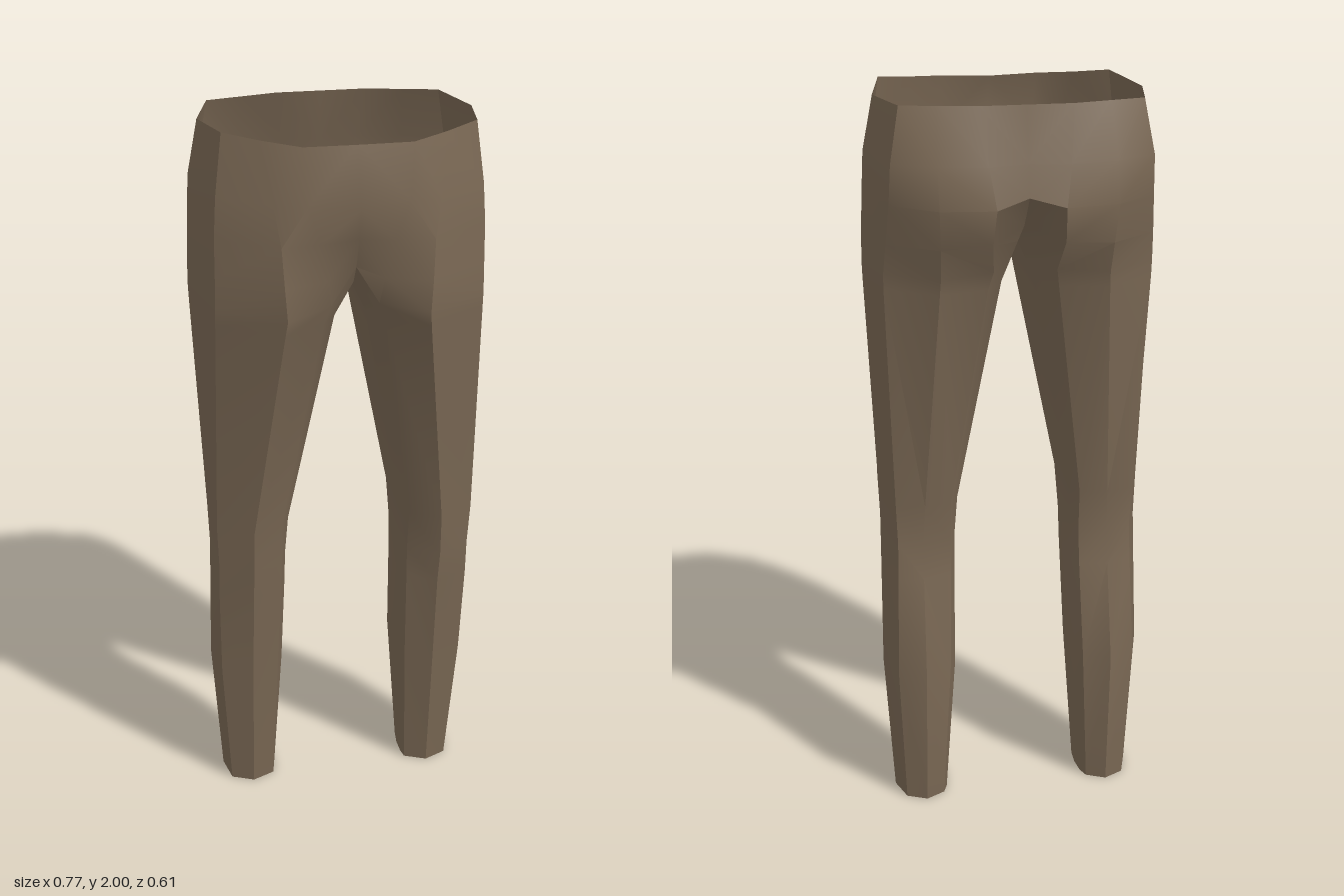
import * as THREE from 'three';
import { toCreasedNormals } from 'three/addons/utils/BufferGeometryUtils.js';

// Each half ring runs: front seam, front inner, front, front outer, side,
// back outer, back, back inner, back seam. Points are [x, y, z].
const hipRings = [
  // waistband rim
  [[0, 1.98, .257], [.13, 1.983, .265], [.22, 1.99, .217], [.305, 2, .168], [.342, 1.985, -.02],
    [.3, 1.985, -.19], [.21, 1.985, -.212], [.115, 1.985, -.235], [0, 1.985, -.235]],
  // belly
  [[0, 1.84, .302], [.12, 1.85, .285], [.2, 1.85, .265], [.325, 1.85, .18], [.37, 1.85, -.02],
    [.325, 1.85, -.208], [.22, 1.85, -.262], [.1, 1.85, -.283], [0, 1.85, -.262]],
  // seat
  [[0, 1.76, .28], [.09, 1.75, .272], [.185, 1.75, .28], [.332, 1.75, .183], [.376, 1.75, -.02],
    [.33, 1.75, -.196], [.22, 1.75, -.285], [.085, 1.75, -.304], [0, 1.77, -.272]],
  [[0, 1.68, .245], [.07, 1.65, .25], [.18, 1.65, .291], [.334, 1.65, .185], [.381, 1.65, -.02],
    [.338, 1.65, -.175], [.215, 1.65, -.264], [.09, 1.66, -.278], [0, 1.69, -.21]],
  // crotch
  [[0, 1.63, .21], [.06, 1.58, .235], [.175, 1.57, .296], [.336, 1.57, .185], [.383, 1.57, -.02],
    [.344, 1.57, -.155], [.213, 1.57, -.24], [.08, 1.58, -.228], [0, 1.63, -.13]],
];
const crotchPoint = [0, 1.622, 0];

// Leg rings: height, then [x, z] in the same order plus the inner thigh point.
const legRings = [
  [1.53, [[.04, .17], [.075, .222], [.18, .285], [.337, .18], [.382, -.02], [.344, -.152], [.215, -.232], [.09, -.205], [.042, -.13], [.038, 0]]],
  [.92, [[.153, .09], [.175, .126], [.255, .168], [.349, .118], [.36, -.02], [.326, -.111], [.25, -.132], [.177, -.114], [.155, -.08], [.147, 0]]],
  [.8, [[.16, .07], [.175, .11], [.257, .16], [.346, .107], [.357, -.02], [.322, -.104], [.255, -.114], [.178, -.104], [.163, -.07], [.156, 0]]],
  [.7, [[.162, .06], [.178, .1], [.258, .137], [.348, .097], [.36, -.025], [.325, -.113], [.257, -.128], [.18, -.113], [.165, -.075], [.158, -.01]]],
  [.42, [[.169, .02], [.187, .065], [.262, .1], [.347, .066], [.367, -.045], [.335, -.137], [.262, -.175], [.19, -.14], [.171, -.1], [.164, -.04]]],
  [0, [[.197, 0], [.203, .027], [.265, .053], [.327, .027], [.345, -.05], [.32, -.12], [.265, -.145], [.212, -.12], [.2, -.09], [.195, -.045]]],
];

export function createModel() {
  const group = new THREE.Group();
  group.name = 'trousers';
  const cloth = new THREE.MeshStandardMaterial({ color: 0x7a6854, side: THREE.DoubleSide });
  cloth.name = 'brown cloth';

  const positions = [];
  const triangle = (a, b, c) => {
    positions.push(...a, ...b, ...c);
    // mirrored half, wound the other way
    for (const [x, y, z] of [a, c, b]) positions.push(-x, y, z);
  };
  const quad = (topA, topB, lowA, lowB) => {
    triangle(topA, lowA, lowB);
    triangle(topA, lowB, topB);
  };

  // hips: open strips from the front seam round to the back seam
  for (let r = 0; r < hipRings.length - 1; r++)
    for (let i = 0; i < 8; i++)
      quad(hipRings[r][i], hipRings[r][i + 1], hipRings[r + 1][i], hipRings[r + 1][i + 1]);

  // legs: closed loops below the crotch, open at the hem
  const loops = [[...hipRings.at(-1), crotchPoint],
    ...legRings.map(([y, ring]) => ring.map(([x, z]) => [x, y, z]))];
  for (let r = 0; r < loops.length - 1; r++)
    for (let i = 0; i < 10; i++) {
      const j = (i + 1) % 10;
      quad(loops[r][i], loops[r][j], loops[r + 1][i], loops[r + 1][j]);
    }

  let geometry = new THREE.BufferGeometry();
  geometry.setAttribute('position', new THREE.Float32BufferAttribute(positions, 3));
  geometry = toCreasedNormals(geometry, 0.62);
  const mesh = new THREE.Mesh(geometry, cloth);
  mesh.name = 'hipsAndLegs';
  group.add(mesh);
  return group;
}
